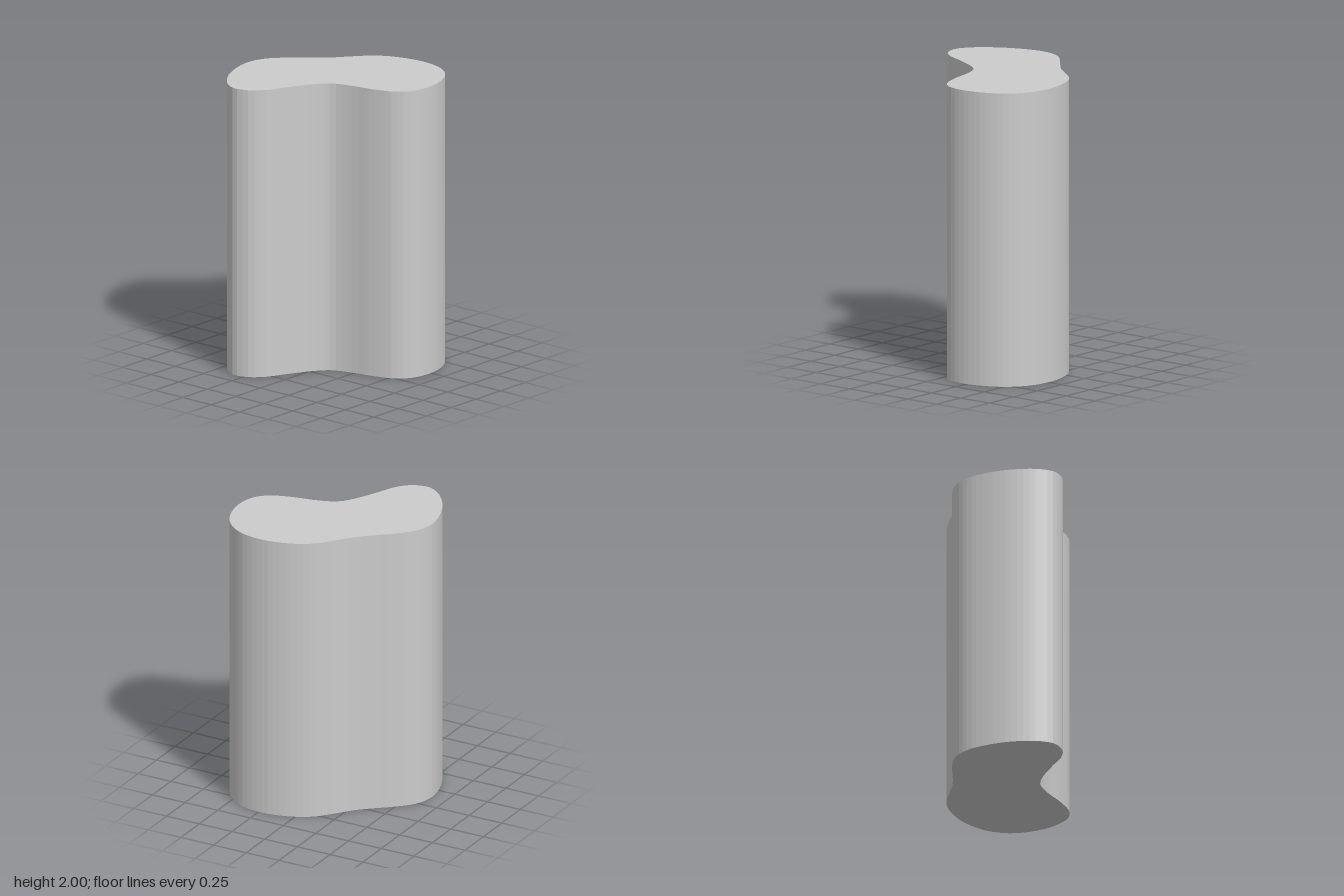
import * as THREE from 'three';

// Bean-shaped footprint as [x, z] points on a closed spline
const OUTLINE = [
  [-0.64, -0.34], [-0.58, -0.44], [-0.4, -0.57], [-0.15, -0.64], [0, -0.605],
  [0.12, -0.5], [0.2, -0.405], [0.3, -0.295], [0.42, -0.2], [0.53, -0.1],
  [0.6, 0.03], [0.638, 0.22], [0.61, 0.4], [0.52, 0.53], [0.38, 0.61],
  [0.22, 0.638], [0.08, 0.61], [0, 0.535], [-0.055, 0.39], [-0.09, 0.22],
  [-0.14, 0.09], [-0.22, 0.02], [-0.4, -0.075], [-0.53, -0.135], [-0.61, -0.21],
  [-0.64, -0.29],
];
const HEIGHT = 2;

export function createModel() {
  const group = new THREE.Group();
  group.name = 'beanColumn';

  // Smooth closed outline; shape y is -z so the extrusion can be stood upright
  const curve = new THREE.CatmullRomCurve3(
    OUTLINE.map(([x, z]) => new THREE.Vector3(x, -z, 0)), true, 'centripetal');
  const points = curve.getSpacedPoints(96).slice(0, -1);
  const shape = new THREE.Shape(points.map((p) => new THREE.Vector2(p.x, p.y)));

  // Straight prism with flat top and bottom
  const geometry = new THREE.ExtrudeGeometry(shape, { depth: HEIGHT, bevelEnabled: false });
  geometry.rotateX(-Math.PI / 2);

  const column = new THREE.Mesh(geometry, new THREE.MeshStandardMaterial({ color: 0xcccccc }));
  column.name = 'column';
  group.add(column);
  return group;
}
